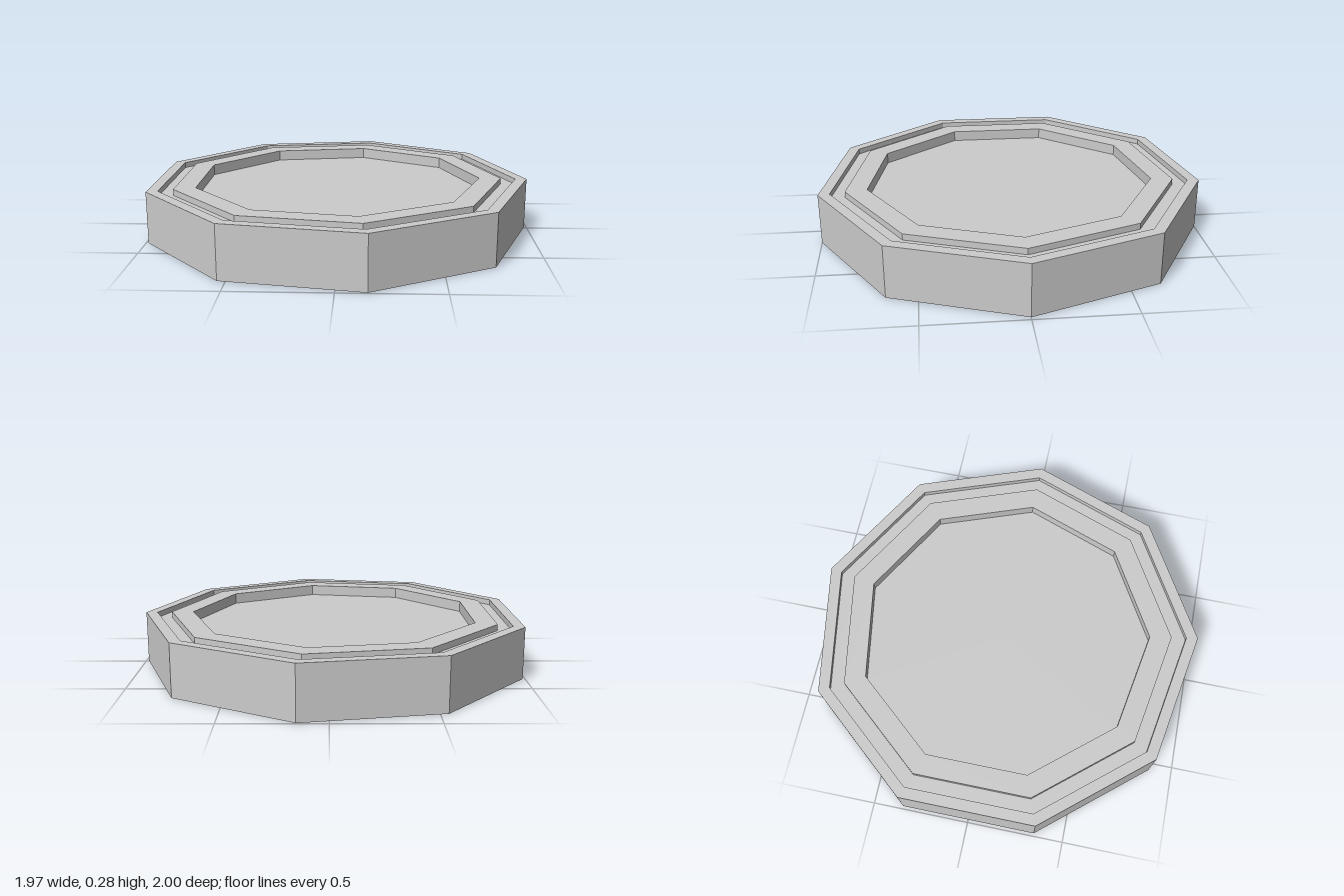
import * as THREE from 'three';

export function createModel() {
  const group = new THREE.Group();
  group.name = 'nonagonalPuck';

  const sides = 9;
  const outerRadius = 1.0154;

  // Half-section [radius, height], from the underside axis around to the top axis
  const section = [
    // underside: recess, raised ring, groove, rim
    [0, 0.069], [0.725, 0.069],
    [0.725, 0], [0.833, 0],
    [0.833, 0.042], [0.92, 0.042],
    [0.92, 0.003], [outerRadius, 0.003],
    // top: rim, groove, raised ring, recess
    [outerRadius, 0.274], [0.955, 0.274],
    [0.955, 0.245], [0.877, 0.245],
    [0.877, 0.277], [0.762, 0.277],
    [0.762, 0.22], [0, 0.22],
  ].map(([r, y]) => new THREE.Vector2(r, y));

  // One corner points along +x
  const geometry = new THREE.LatheGeometry(section, sides, Math.PI / 2);
  const material = new THREE.MeshStandardMaterial({ color: 0xcccccc, flatShading: true });
  const body = new THREE.Mesh(geometry, material);
  body.name = 'puckBody';

  // Centre the odd-sided outline between its corner and its opposite flat
  body.position.x = -outerRadius * (1 - Math.cos(Math.PI / sides)) / 2;
  group.add(body);
  return group;
}
